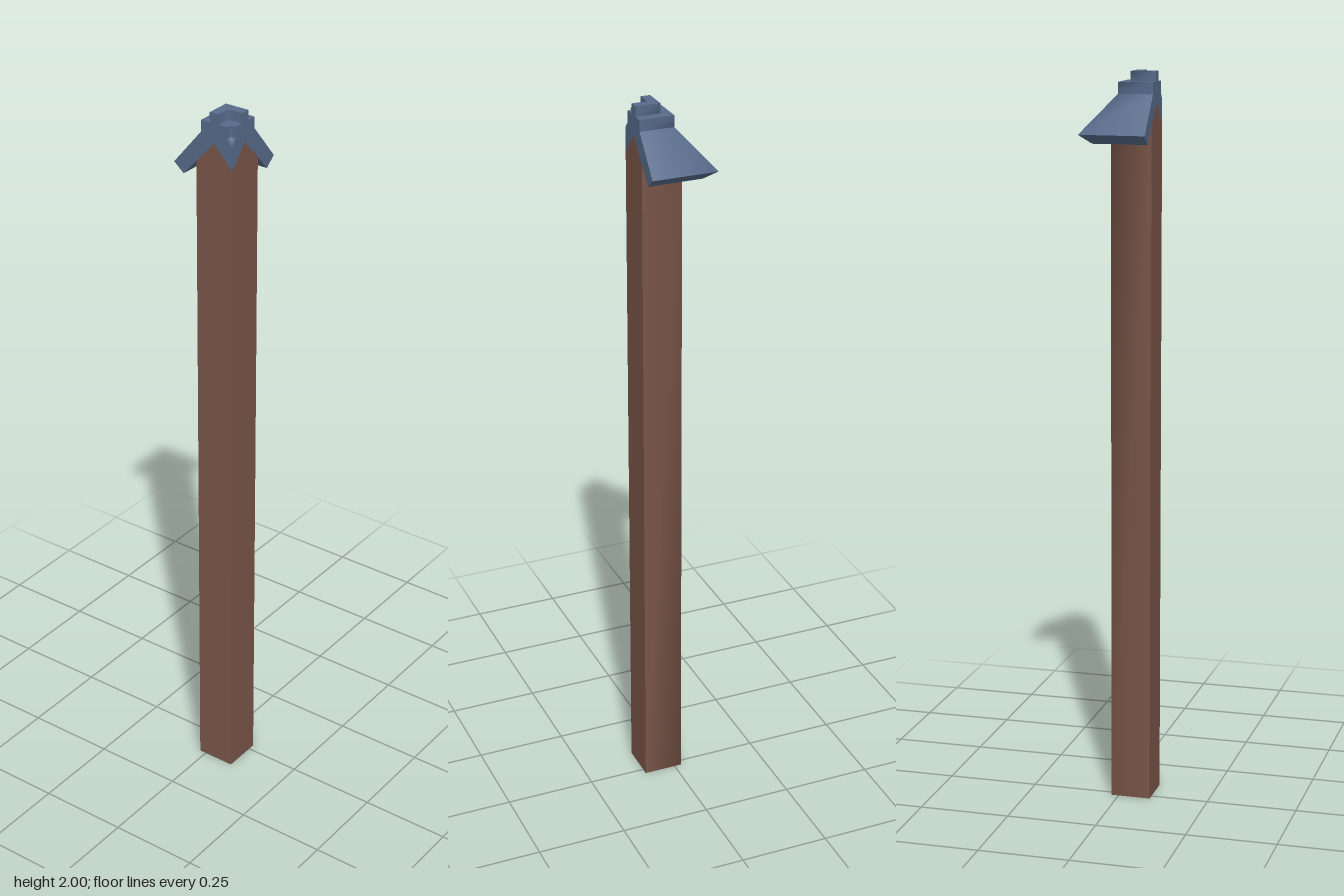
import * as THREE from 'three';

const EDGE = 0.09;     // cut ends of the corner lie at z = EDGE and x = -EDGE
const CENTRE = 0.035;  // ridge line runs along x = -CENTRE, then z = CENTRE

// The three stations of the right-angled path: front end, mitre, side end
const stations = [
  ([d, y]) => [d - CENTRE, y, EDGE],
  ([d, y]) => [d - CENTRE, y, CENTRE - d],
  ([d, y]) => [-EDGE, y, CENTRE - d],
];

// Sweeps a counter-clockwise [offset, height] profile round the corner:
// smooth along the path, sharp between profile edges, capped at both ends.
function cornerSweep(profile) {
  const pos = [], index = [];
  const add = (p) => pos.push(...p) / 3 - 1;
  profile.forEach((a, i) => {
    const b = profile[(i + 1) % profile.length];
    const rows = stations.map((at) => [add(at(a)), add(at(b))]);
    for (let s = 0; s < 2; s++) {
      const [a0, b0] = rows[s], [a1, b1] = rows[s + 1];
      index.push(a0, a1, b1, a0, b1, b0);
    }
  });
  const tris = THREE.ShapeUtils.triangulateShape(profile.map((p) => new THREE.Vector2(...p)), []);
  const front = profile.map((p) => add(stations[0](p)));
  const side = profile.map((p) => add(stations[2](p)));
  for (const [a, b, c] of tris) {
    index.push(front[a], front[b], front[c], side[a], side[c], side[b]);
  }
  const geo = new THREE.BufferGeometry();
  geo.setAttribute('position', new THREE.Float32BufferAttribute(pos, 3));
  geo.setIndex(index);
  geo.computeVertexNormals();
  return geo;
}

const block = (half, low, high) => [[-half, low], [half, low], [half, high], [-half, high]];

export function createModel() {
  const brown = new THREE.MeshStandardMaterial({ color: 0x795548 });
  brown.name = 'brown wall';
  const slate = new THREE.MeshStandardMaterial({ color: 0x566a8a });
  slate.name = 'slate blue roof';

  const group = new THREE.Group();
  group.name = 'wallCorner';
  const part = (name, profile, material) => {
    const mesh = new THREE.Mesh(cornerSweep(profile), material);
    mesh.name = name;
    group.add(mesh);
  };

  // Tall wall corner with a gabled top
  part('wall', [[-0.055, 0], [0.055, 0], [0.055, 1.859], [0, 1.92], [-0.055, 1.859]], brown);

  // Sloping roof, overhanging on the outer side
  part('roof', [
    [-0.055, 1.859], [0, 1.92], [0.095, 1.815], [0.125, 1.84],
    [0.04, 1.942], [-0.04, 1.942], [-0.055, 1.924],
  ], slate);

  // Stepped ridge
  part('ridgeBase', block(0.04, 1.942, 1.973), slate);
  part('ridgeTop', block(0.013, 1.973, 2), slate);

  return group;
}
